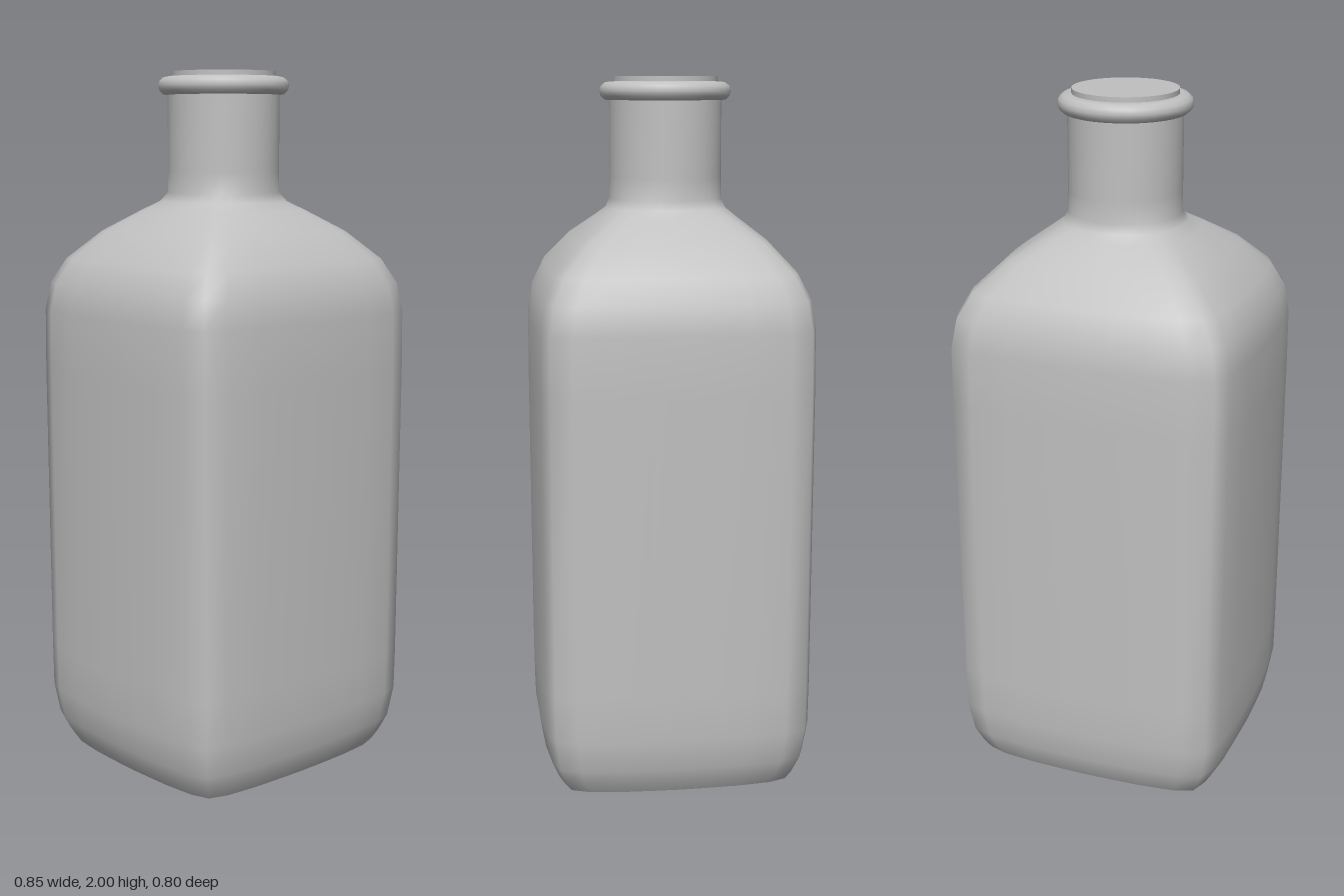
import * as THREE from 'three';

// One eighth of the rounded-square outline, for half-widths of 1
const EIGHTH = [[1, 0], [0.995, 0.22], [0.985, 0.48], [0.955, 0.75], [0.9, 0.9]];
const QUARTER = [...EIGHTH, ...EIGHTH.slice(1, 4).reverse().map(([u, v]) => [v, u])];
const SIDES = QUARTER.length * 4;

// Body sections: height, half-width in x, half-width in z, squareness (0 = round)
const SECTIONS = [
  [0, 0.365, 0.345, 1],
  [0.03, 0.383, 0.362, 1],
  [0.08, 0.405, 0.382, 1],
  [0.17, 0.42, 0.395, 1],
  [0.3, 0.421, 0.397, 1],
  [1.15, 0.424, 0.398, 1],
  [1.32, 0.423, 0.396, 1],
  [1.4, 0.409, 0.383, 1],
  [1.47, 0.372, 0.35, 0.97],
  [1.55, 0.29, 0.277, 0.88],
  [1.61, 0.205, 0.2, 0.6],
  [1.635, 0.172, 0.171, 0.25],
  [1.66, 0.161, 0.161, 0],
  [1.72, 0.16, 0.16, 0],
  [1.945, 0.16, 0.16, 0],
];

// Blends the rounded square into a circle
function ring([y, rx, rz, square]) {
  const points = [];
  for (let i = 0; i < SIDES; i++) {
    const angle = (i / SIDES) * Math.PI * 2;
    const [u, v] = QUARTER[i % QUARTER.length];
    const turn = Math.floor(i / QUARTER.length);
    const [sx, sz] = [[u, v], [-v, u], [-u, -v], [v, -u]][turn];
    points.push(
      rx * THREE.MathUtils.lerp(Math.cos(angle), sx, square),
      y,
      rz * THREE.MathUtils.lerp(Math.sin(angle), sz, square),
    );
  }
  return points;
}

function makeGeometry(positions, index) {
  const geometry = new THREE.BufferGeometry();
  geometry.setAttribute('position', new THREE.Float32BufferAttribute(positions, 3));
  geometry.setIndex(index);
  geometry.computeVertexNormals();
  return geometry;
}

function loft(sections) {
  const index = [];
  for (let s = 0; s < sections.length - 1; s++) {
    for (let i = 0; i < SIDES; i++) {
      const a = s * SIDES + i;
      const b = s * SIDES + ((i + 1) % SIDES);
      index.push(a, a + SIDES, b, b, a + SIDES, b + SIDES);
    }
  }
  return makeGeometry(sections.flatMap(ring), index);
}

function baseCap(section) {
  const index = [];
  for (let i = 0; i < SIDES; i++) index.push(SIDES, i, (i + 1) % SIDES);
  return makeGeometry([...ring(section), 0, section[0], 0], index);
}

export function createModel() {
  const model = new THREE.Group();
  model.name = 'bottle';
  const glass = new THREE.MeshStandardMaterial({ color: 0xc0c0c0 });
  glass.name = 'grey glass';

  const add = (name, geometry) => {
    const mesh = new THREE.Mesh(geometry, glass);
    mesh.name = name;
    model.add(mesh);
    return mesh;
  };

  // Square body, shoulders and round neck in one smooth skin
  add('bodyAndNeck', loft(SECTIONS));
  add('base', baseCap(SECTIONS[0]));

  // Rounded lip around the mouth
  const lip = [[0.155, 1.934], [0.172, 1.936], [0.183, 1.946], [0.187, 1.96],
    [0.183, 1.973], [0.172, 1.983], [0.158, 1.986], [0.14, 1.986]];
  add('lip', new THREE.LatheGeometry(lip.map(([r, y]) => new THREE.Vector2(r, y)), 32));

  // Flat stopper
  add('stopper', new THREE.CylinderGeometry(0.148, 0.148, 0.03, 32)).position.y = 1.985;

  return model;
}
